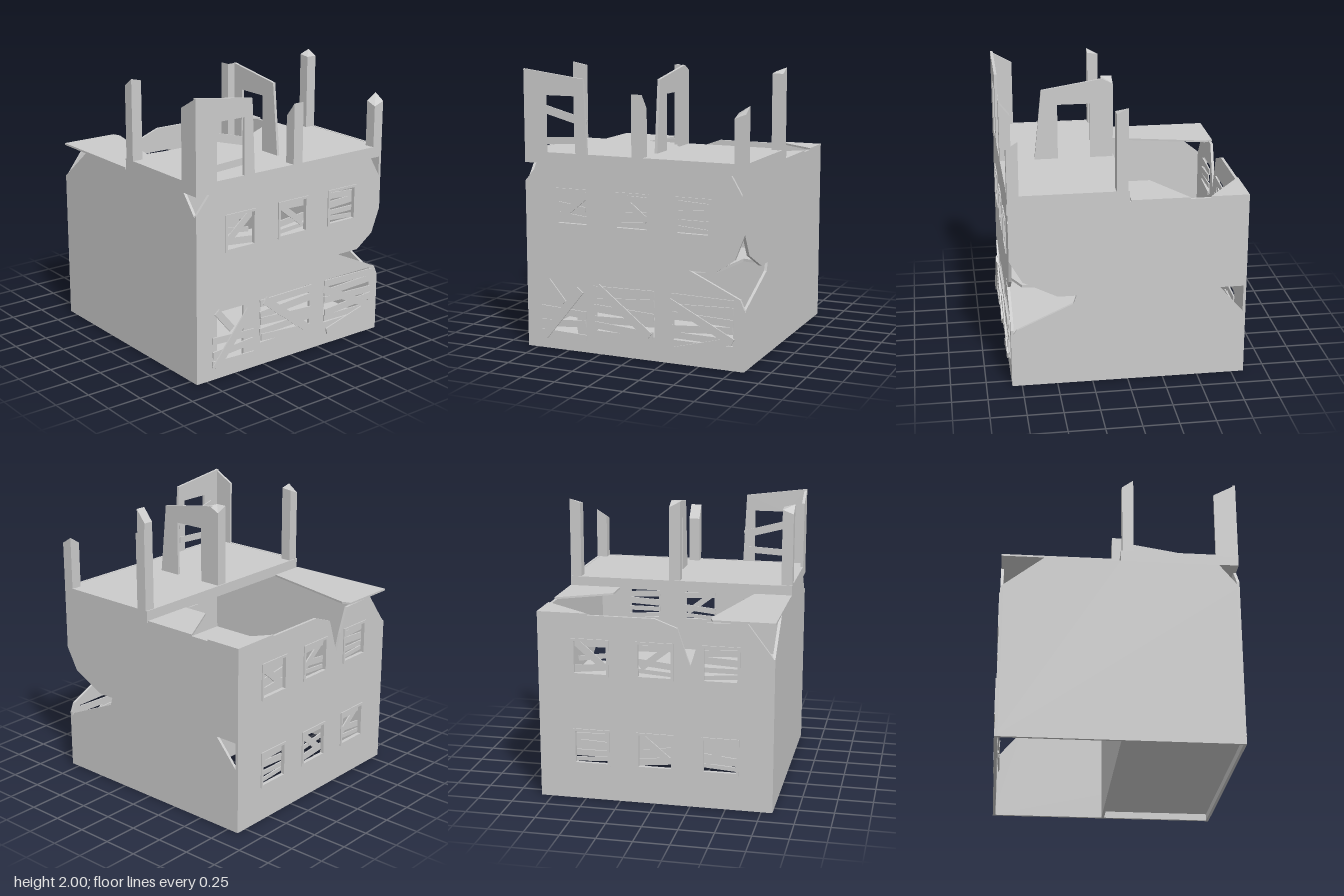
import * as THREE from 'three';

const mat = new THREE.MeshStandardMaterial({ color: 0xcccccc, flatShading: true, side: THREE.DoubleSide });
const T = 0.02; // wall thickness

// Rectangle as a loop of corners
const rect = (x0, y0, x1, y1) => [[x0, y0], [x1, y0], [x1, y1], [x0, y1]];

// Flat panel with holes, extruded by depth
function panel(outline, holes, depth) {
  const toPts = (l) => l.map(([x, y]) => new THREE.Vector2(x, y));
  const shape = new THREE.Shape(toPts(outline));
  holes.forEach((h) => shape.holes.push(new THREE.Path(toPts(h))));
  return new THREE.ExtrudeGeometry(shape, { depth, bevelEnabled: false });
}

export function createModel() {
  const root = new THREE.Group();
  root.name = 'ruinedBuilding';

  const add = (name, geo, parent = root) => {
    const m = new THREE.Mesh(geo, mat);
    m.name = name;
    parent.add(m);
    return m;
  };
  // Wall in the x-y plane, from z to z + d
  const wallXY = (name, z, pts, holes = [], d = T) =>
    add(name, panel(pts, holes, d).translate(0, 0, z));
  // Wall in the z-y plane, outline given as (z, y), from x - d to x
  const wallZY = (name, x, pts, holes = [], d = T) =>
    add(name, panel(pts, holes, d).rotateY(-Math.PI / 2).translate(x, 0, 0));
  // Slab with outline (x, z) and its top at y
  const slab = (name, y, pts, d) =>
    add(name, panel(pts, [], d).rotateX(Math.PI / 2).translate(0, y, 0));
  // Board: centre, length, width, tilt in degrees
  const board = (parent, x, y, z, len, w, deg) => {
    const b = add('board', new THREE.BoxGeometry(len, w, 0.01), parent);
    b.position.set(x, y, z);
    b.rotation.z = THREE.MathUtils.degToRad(deg);
  };

  const columns = [-0.46, 0, 0.455];
  const win = (x, y) => rect(x - 0.115, y - 0.115, x + 0.115, y + 0.115);

  // Front wall with broken corners, upper windows, doorway and lower windows
  const doorway = rect(-0.66, 0.09, -0.43, 0.49);
  const lowWindows = [rect(-0.28, 0.17, 0.17, 0.5), rect(0.31, 0.17, 0.75, 0.5)];
  wallXY('frontWall', 0.80, [
    [-0.83, 0], [0.83, 0], [0.83, 0.43], [0.80, 0.50], [0.43, 0.67], [0.62, 0.67], [0.76, 0.77],
    [0.83, 0.95], [0.83, 1.17], [0.73, 1.34], [0.83, 1.34], [0.83, 1.42], [-0.83, 1.42],
    [-0.83, 1.34], [-0.72, 1.34], [-0.83, 1.21],
  ], [doorway, ...lowWindows, ...columns.map((x) => win(x, 1.04))]);

  // Back wall with a split top edge and a broken corner
  wallXY('backWall', -0.84, [
    [-0.83, 0], [0.83, 0], [0.83, 1.34], [0, 1.34], [-0.16, 1.28], [-0.22, 1.1], [-0.25, 1.02],
    [-0.29, 1.15], [-0.36, 1.33], [-0.64, 1.34], [-0.83, 1.09],
  ], columns.flatMap((x) => [win(x, 1.04), win(x, 0.385)]));

  // Side walls, stepped between the front and back halves
  wallZY('leftWall', 0.83, [
    [-0.84, 0], [0.82, 0], [0.82, 0.37], [0.78, 0.43], [0.38, 0.61], [0.36, 0.67], [0.49, 0.67],
    [0.73, 0.79], [0.82, 0.95], [0.82, 1.42], [-0.01, 1.42], [-0.01, 1.34], [-0.84, 1.34],
    [-0.84, 0.67], [-0.65, 0.67], [-0.84, 0.45],
  ]);
  wallZY('rightWall', -0.81, [
    [-0.84, 0], [0.82, 0], [0.82, 1.17], [0.68, 1.34], [0.82, 1.34], [0.82, 1.42], [-0.01, 1.42],
    [-0.01, 1.34], [-0.54, 1.34], [-0.84, 1.10],
  ]);

  // Inner wall and floors
  wallXY('innerWall', -0.01, rect(-0.81, 0, 0.81, 0.66));
  slab('groundFloor', 0.07, rect(-0.81, 0, 0.81, 0.80), 0.02);
  slab('middleFloor', 0.67, [
    [-0.81, -0.01], [0.81, -0.01], [0.81, 0.36], [0.64, 0.33], [0.6, 0.72], [0.43, 0.80], [-0.81, 0.80],
  ], 0.02);
  slab('upperFloor', 1.418, rect(-0.828, -0.008, 0.828, 0.818), 0.078);

  // Remains of the low back roof
  slab('backRoofRight', 1.352, [[-0.83, -0.84], [-0.40, -0.84], [-0.38, -0.78], [-0.56, -0.02], [-0.83, -0.02]], 0.014);
  slab('backRoofCorner', 1.352, [[0.47, -0.84], [0.83, -0.84], [0.83, -0.57]], 0.014);
  slab('backRoofLeft', 1.352, [[0.45, -0.02], [0.45, -0.21], [0.83, -0.43], [0.83, -0.02]], 0.014);

  // Broken pillars: corner x, corner z, tops at [back right, back left, front right, front left]
  [
    [-0.83, 0, [1.94, 1.97, 2.0, 1.98]],
    [0, 0, [2.0, 1.96, 2.0, 2.0]],
    [0.75, 0, [1.97, 2.0, 1.96, 1.96]],
    [0, 0.74, [1.75, 1.75, 1.85, 1.85]],
    [0.75, 0.74, [1.75, 1.80, 1.72, 1.75]],
  ].forEach(([x, z, tops]) => {
    const g = new THREE.BoxGeometry(0.08, 1, 0.08);
    const p = g.attributes.position;
    for (let i = 0; i < p.count; i++) {
      const corner = (p.getX(i) > 0 ? 1 : 0) + (p.getZ(i) > 0 ? 2 : 0);
      p.setY(i, p.getY(i) > 0 ? tops[corner] : 1.41);
    }
    add('pillar', g.translate(x + 0.04, 0, z + 0.04));
  });

  // Top storey remains: front corner with window, and inner wall with doorway
  wallXY('topFrontWall', 0.80, [
    [-0.83, 1.41], [-0.66, 1.41], [-0.66, 1.82], [-0.43, 1.82], [-0.43, 1.41], [-0.34, 1.41],
    [-0.365, 1.94], [-0.83, 2.0],
  ]);
  wallZY('topSideWall', -0.81, [[0.66, 1.41], [0.82, 1.41], [0.82, 2.0], [0.66, 1.91]]);
  wallZY('topInnerWall', 0.08, [
    [0.07, 1.41], [0.165, 1.41], [0.165, 1.82], [0.40, 1.82], [0.40, 1.41], [0.57, 1.41],
    [0.515, 1.93], [0.07, 2.0],
  ]);
  const topBoards = new THREE.Group();
  topBoards.name = 'topWindowBoards';
  root.add(topBoards);
  board(topBoards, -0.545, 1.685, 0.793, 0.40, 0.058, -15);
  board(topBoards, -0.545, 1.505, 0.793, 0.36, 0.05, 3);

  // Small windows: raised frame and boards nailed inside ([dx, dy, length, width, tilt])
  const patterns = [
    [[0, 0.01, 0.27, 0.05, 40], [0, 0.09, 0.25, 0.04, 0], [0.01, -0.08, 0.26, 0.05, -6], [-0.03, 0.0, 0.24, 0.035, -8]],
    [[0.0, 0.02, 0.26, 0.045, -38], [0, -0.03, 0.25, 0.045, 6], [0, 0.085, 0.25, 0.045, -2], [0, -0.09, 0.25, 0.03, 4]],
    [[0, 0.075, 0.25, 0.045, -3], [0, 0.015, 0.25, 0.05, 3], [0, -0.045, 0.25, 0.035, 0], [0, -0.095, 0.25, 0.03, -4]],
  ];
  const smallWindow = (x, y, side, pattern) => {
    const g = new THREE.Group();
    g.name = 'window';
    g.position.set(x, y, side > 0 ? 0.82 : -0.84);
    root.add(g);
    const ring = panel(rect(-0.133, -0.133, 0.133, 0.133), [win(0, 0)], 0.012);
    add('frame', ring.translate(0, 0, side > 0 ? -0.004 : -0.008), g);
    pattern.forEach(([dx, dy, len, w, deg], i) =>
      board(g, dx, dy, -side * (0.026 + 0.006 * (i % 2)), len, w, deg));
  };
  columns.forEach((x, i) => {
    smallWindow(x, 1.04, 1, patterns[i]);
    smallWindow(x, 1.04, -1, patterns[(5 - i) % 3]);
    smallWindow(x, 0.385, -1, patterns[(4 - i) % 3]);
  });

  // Lower front openings: large boards [x, y, length, width, tilt, layer]
  const boarded = {
    doorBoards: [
      [-0.54, 0.275, 0.47, 0.06, 51, 2], [-0.53, 0.285, 0.36, 0.05, -3, 1], [-0.53, 0.2, 0.35, 0.05, 4, 1],
      [-0.53, 0.115, 0.36, 0.045, -2, 1], [-0.6, 0.42, 0.2, 0.05, -50, 0],
    ],
    middleBoards: [
      [-0.06, 0.335, 0.51, 0.06, -38, 2], [-0.06, 0.475, 0.47, 0.05, 1, 1], [-0.06, 0.395, 0.46, 0.055, 4, 0],
      [-0.06, 0.325, 0.46, 0.055, -3, 1], [-0.06, 0.26, 0.46, 0.05, 2, 0], [-0.06, 0.2, 0.45, 0.05, -4, 1],
    ],
    leftBoards: [
      [0.52, 0.325, 0.53, 0.055, -27, 2], [0.53, 0.475, 0.46, 0.05, -1, 1], [0.53, 0.41, 0.45, 0.05, 2, 0],
      [0.53, 0.34, 0.45, 0.05, -2, 0], [0.53, 0.27, 0.45, 0.05, 4, 1], [0.53, 0.205, 0.45, 0.045, -1, 0],
      [0.53, 0.155, 0.42, 0.05, 15, 1],
    ],
  };
  Object.entries(boarded).forEach(([name, list]) => {
    const g = new THREE.Group();
    g.name = name;
    root.add(g);
    list.forEach(([x, y, len, w, deg, layer]) => board(g, x, y, 0.825 + layer * 0.009, len, w, deg));
  });

  return root;
}
